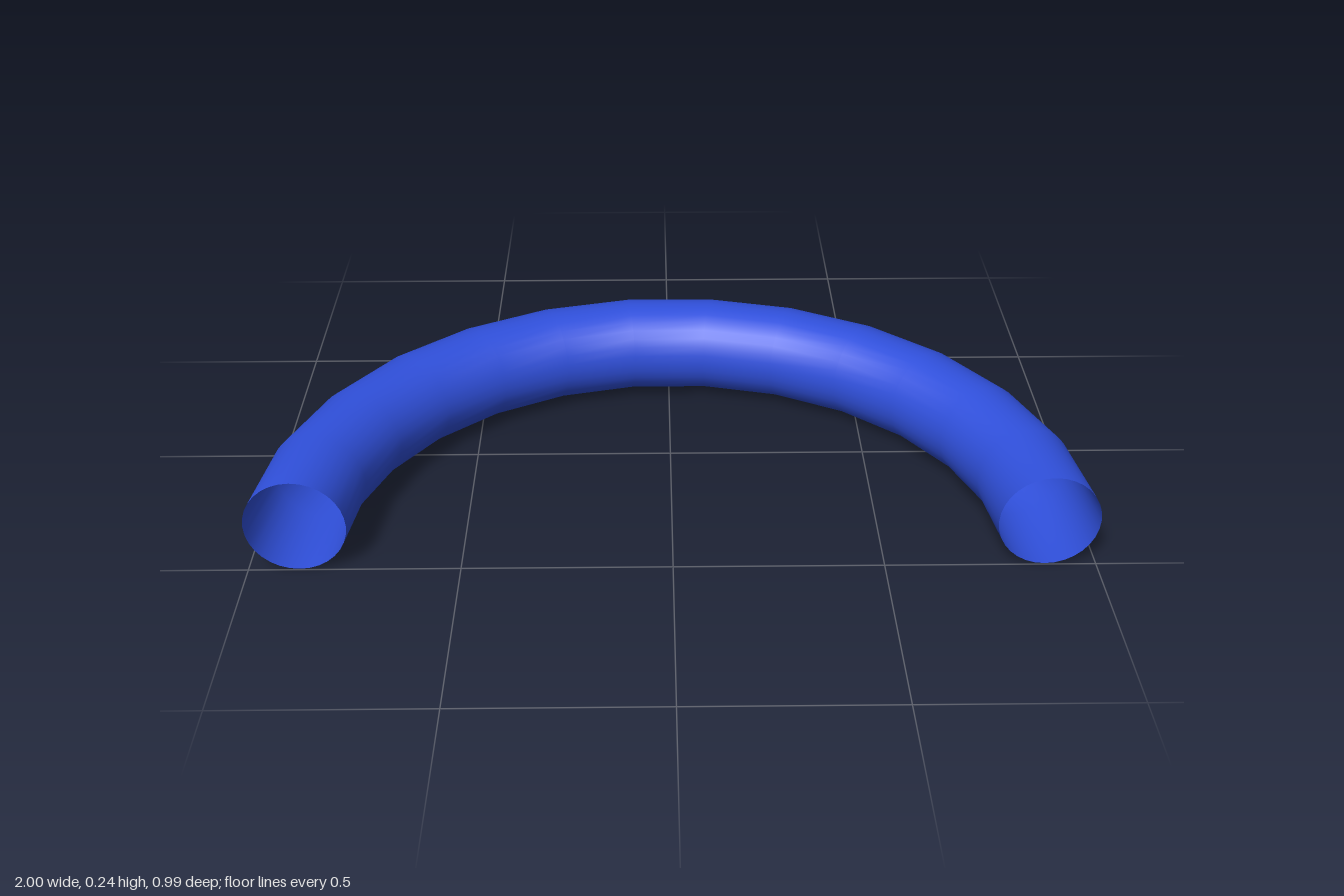
import * as THREE from 'three';

export function createModel() {
  const group = new THREE.Group();
  group.name = 'halfRing';

  const tubeRadius = 0.12;
  const ringRadius = 0.88;
  const arcSegments = 13;

  // Open half-ring pipe, laid flat with both ends facing the front
  const geometry = new THREE.TorusGeometry(ringRadius, tubeRadius, 32, arcSegments, Math.PI);
  geometry.rotateX(-Math.PI / 2);

  // Stand on the ground and centre front to back
  geometry.computeBoundingBox();
  const { min, max } = geometry.boundingBox;
  geometry.translate(0, -min.y, -(min.z + max.z) / 2);

  const material = new THREE.MeshStandardMaterial({ color: 0x3050dc, side: THREE.DoubleSide });
  const pipe = new THREE.Mesh(geometry, material);
  pipe.name = 'curvedPipe';
  group.add(pipe);

  return group;
}
